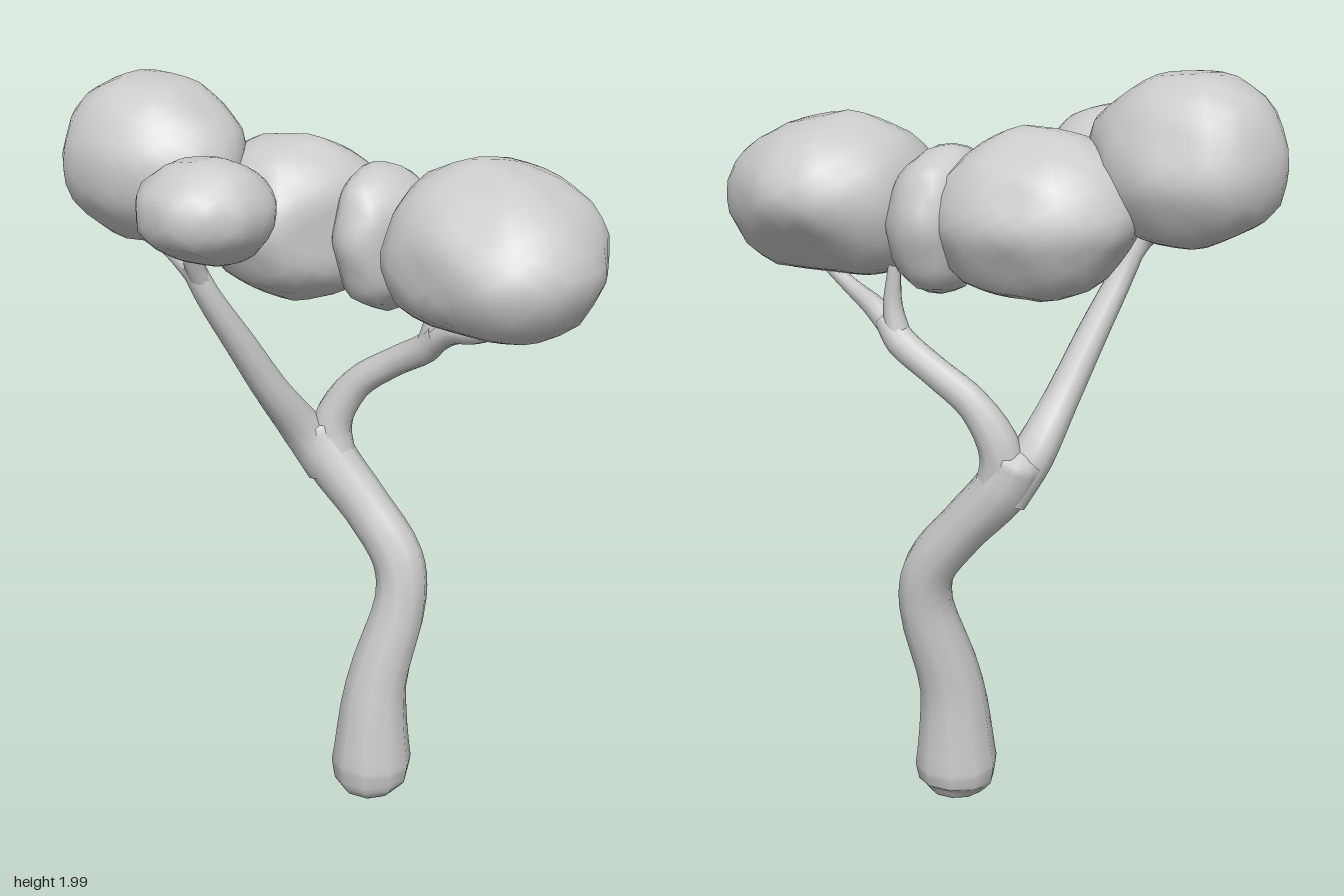
import * as THREE from 'three';
import { mergeVertices } from 'three/addons/utils/BufferGeometryUtils.js';

const material = new THREE.MeshStandardMaterial({ color: 0xcccccc });

// Tapered limb: each station is [x, y, z, radius]
function limb(name, stations, steps = 4, sides = 10) {
  const curve = new THREE.CatmullRomCurve3(stations.map(s => new THREE.Vector3(s[0], s[1], s[2])));
  const count = (stations.length - 1) * steps;
  const pos = [], index = [];
  const ref = new THREE.Vector3(0, 0, 1);
  for (let i = 0; i <= count; i++) {
    const t = i / count;
    const k = Math.min(Math.floor(i / steps), stations.length - 2);
    const r = THREE.MathUtils.lerp(stations[k][3], stations[k + 1][3], i / steps - k);
    const p = curve.getPoint(t), tan = curve.getTangent(t);
    const n = new THREE.Vector3().crossVectors(ref, tan).normalize();
    const b = new THREE.Vector3().crossVectors(tan, n);
    for (let j = 0; j < sides; j++) {
      const a = j / sides * Math.PI * 2;
      const v = p.clone().addScaledVector(n, r * Math.cos(a)).addScaledVector(b, r * Math.sin(a));
      pos.push(v.x, Math.max(v.y, 0), v.z);
      if (i < count) {
        const q = i * sides + j, s = i * sides + (j + 1) % sides;
        index.push(q, s, q + sides, s, s + sides, q + sides);
      }
    }
  }
  const geo = new THREE.BufferGeometry();
  geo.setAttribute('position', new THREE.Float32BufferAttribute(pos, 3));
  geo.setIndex(index);
  geo.computeVertexNormals();
  const mesh = new THREE.Mesh(geo, material);
  mesh.name = name;
  return mesh;
}

// How far a direction (u, v) from (cu, cv) reaches through a convex outline: 1 = on the rim
function gauge(outline, cu, cv, u, v) {
  let g = 0;
  outline.forEach(([u0, v0], i) => {
    const [u1, v1] = outline[(i + 1) % outline.length];
    const nu = v1 - v0, nv = u0 - u1;
    const h = nu * (u0 - cu) + nv * (v0 - cv);
    g = Math.max(g, (nu * u + nv * v) / h);
  });
  return g;
}

// Rounded leaf mass shaped by its front (x,y), side (z,y) and top (x,z) outlines
function leafMass(name, [cx, cy, cz], front, side, top) {
  let geo = new THREE.IcosahedronGeometry(1, 5);
  geo.deleteAttribute('uv');
  geo.deleteAttribute('normal');
  geo = mergeVertices(geo, 1e-4);
  const p = geo.attributes.position;
  for (let i = 0; i < p.count; i++) {
    const x = p.getX(i), y = p.getY(i), z = p.getZ(i);
    const a = gauge(front, cx, cy, x, y), b = gauge(side, cz, cy, z, y), c = gauge(top, cx, cz, x, z);
    const g = Math.max(a, b, c, Math.sqrt((a * a + b * b + c * c) / 2));
    p.setXYZ(i, cx + x / g, cy + y / g, cz + z / g);
  }
  geo.computeVertexNormals();
  const mesh = new THREE.Mesh(geo, material);
  mesh.name = name;
  return mesh;
}

export function createModel() {
  const tree = new THREE.Group();
  tree.name = 'tree';

  // Trunk with a rounded foot and a bend halfway up
  tree.add(limb('trunk', [
    [0.095, 0.005, -0.125, 0], [0.095, 0.012, -0.125, 0.07], [0.095, 0.045, -0.12, 0.103], [0.095, 0.1, -0.12, 0.112],
    [0.1, 0.33, -0.135, 0.086], [0.145, 0.58, -0.19, 0.072], [0.125, 0.69, -0.205, 0.07],
    [0.025, 0.82, -0.21, 0.067], [-0.08, 0.94, -0.205, 0.073], [-0.13, 1.03, -0.2, 0.065], [-0.14, 1.06, -0.2, 0],
  ]));

  // Two main branches and their twigs
  tree.add(limb('rightBranch', [
    [-0.09, 0.92, -0.2, 0.06], [-0.15, 1.03, -0.165, 0.058], [-0.19, 1.16, -0.075, 0.047],
    [-0.235, 1.31, 0.01, 0.041], [-0.285, 1.46, 0.09, 0.033], [-0.315, 1.55, 0.12, 0.03],
  ]));
  tree.add(limb('rightOuterTwig', [
    [-0.295, 1.49, 0.1, 0.028], [-0.335, 1.55, 0.12, 0.026], [-0.4, 1.575, 0.1, 0.018], [-0.48, 1.595, 0.06, 0.012],
  ]));
  tree.add(limb('rightInnerTwig', [
    [-0.295, 1.49, 0.1, 0.028], [-0.295, 1.56, 0.14, 0.024], [-0.27, 1.65, 0.18, 0.016],
  ]));
  tree.add(limb('leftBranch', [
    [-0.07, 0.93, -0.205, 0.062], [-0.085, 1.04, -0.215, 0.056], [-0.02, 1.16, -0.23, 0.043],
    [0.09, 1.24, -0.235, 0.039], [0.19, 1.3, -0.22, 0.04], [0.24, 1.35, -0.2, 0.034],
  ]));
  tree.add(limb('leftOuterTwig', [
    [0.2, 1.31, -0.215, 0.034], [0.28, 1.365, -0.18, 0.03], [0.38, 1.395, -0.12, 0.022], [0.5, 1.45, -0.07, 0.015],
  ]));
  tree.add(limb('leftInnerTwig', [
    [0.2, 1.31, -0.215, 0.034], [0.215, 1.39, -0.215, 0.025], [0.205, 1.5, -0.22, 0.016],
  ]));

  // Leaf masses
  tree.add(leafMass('rightLeafMass', [-0.48, 1.78, 0.01],
    [[-0.74, 1.79], [-0.69, 1.94], [-0.56, 2], [-0.39, 1.98], [-0.24, 1.87], [-0.2, 1.77], [-0.26, 1.64], [-0.39, 1.57], [-0.52, 1.56], [-0.72, 1.66]].reverse(),
    [[0.24, 1.82], [0.17, 1.95], [0.1, 1.99], [-0.06, 2], [-0.15, 1.94], [-0.22, 1.75], [-0.15, 1.6], [0, 1.56], [0.15, 1.59], [0.23, 1.7]],
    [[-0.74, 0], [-0.68, -0.19], [-0.6, -0.22], [-0.44, -0.21], [-0.33, -0.16], [-0.25, -0.06], [-0.2, 0.07], [-0.27, 0.17], [-0.38, 0.23], [-0.5, 0.24], [-0.65, 0.2]]));
  tree.add(leafMass('frontLeafMass', [-0.21, 1.72, 0.21],
    [[-0.4, 1.69], [-0.38, 1.78], [-0.29, 1.84], [-0.18, 1.86], [-0.08, 1.83], [-0.03, 1.75], [-0.04, 1.68], [-0.1, 1.6], [-0.22, 1.575], [-0.35, 1.61]].reverse(),
    [[0.4, 1.73], [0.39, 1.78], [0.27, 1.86], [0.2, 1.86], [0.06, 1.8], [0.03, 1.72], [0.08, 1.62], [0.16, 1.58], [0.24, 1.59], [0.38, 1.67]],
    [[-0.39, 0.25], [-0.32, 0.35], [-0.2, 0.4], [-0.12, 0.37], [-0.05, 0.29], [-0.03, 0.17], [-0.08, 0.09], [-0.2, 0.04], [-0.34, 0.07], [-0.4, 0.15]].reverse()));
  tree.add(leafMass('backLeafMass', [-0.15, 1.63, -0.12],
    [[-0.42, 1.65], [-0.36, 1.77], [-0.25, 1.84], [-0.1, 1.86], [0, 1.82], [0.1, 1.72], [0.12, 1.6], [0.04, 1.45], [-0.14, 1.41], [-0.3, 1.47]].reverse(),
    [[-0.35, 1.63], [-0.28, 1.78], [-0.12, 1.86], [0.02, 1.82], [0.12, 1.65], [0.06, 1.5], [-0.1, 1.41], [-0.27, 1.47]].reverse(),
    [[-0.42, -0.18], [-0.36, -0.26], [-0.27, -0.33], [-0.18, -0.35], [0, -0.34], [0.1, -0.29], [0.12, -0.2], [0.02, -0.03], [-0.08, 0.1], [-0.2, 0.12], [-0.38, 0.02]]));
  tree.add(leafMass('middleLeafMass', [0.11, 1.61, -0.15],
    [[-0.01, 1.62], [0.01, 1.78], [0.04, 1.81], [0.13, 1.79], [0.19, 1.74], [0.24, 1.6], [0.21, 1.48], [0.13, 1.41], [0.04, 1.44]].reverse(),
    [[-0.33, 1.62], [-0.28, 1.75], [-0.15, 1.81], [-0.03, 1.77], [0.03, 1.62], [-0.02, 1.47], [-0.14, 1.41], [-0.27, 1.46]].reverse(),
    [[-0.01, -0.2], [0.06, -0.33], [0.15, -0.31], [0.22, -0.25], [0.23, -0.14], [0.13, 0.02], [0.05, 0.03], [0, -0.02]]));
  tree.add(leafMass('leftLeafMass', [0.44, 1.63, -0.1],
    [[0.18, 1.75], [0.22, 1.81], [0.37, 1.86], [0.54, 1.82], [0.67, 1.74], [0.74, 1.61], [0.68, 1.47], [0.58, 1.415], [0.3, 1.42], [0.2, 1.45], [0.155, 1.55]].reverse(),
    [[0.2, 1.62], [0.06, 1.78], [-0.1, 1.86], [-0.3, 1.82], [-0.38, 1.73], [-0.4, 1.65], [-0.24, 1.47], [-0.05, 1.41], [0.14, 1.48]],
    [[0.19, -0.27], [0.33, -0.4], [0.49, -0.39], [0.68, -0.24], [0.74, -0.05], [0.7, 0.1], [0.65, 0.15], [0.54, 0.2], [0.18, 0.06], [0.16, -0.05]]));

  return tree;
}
